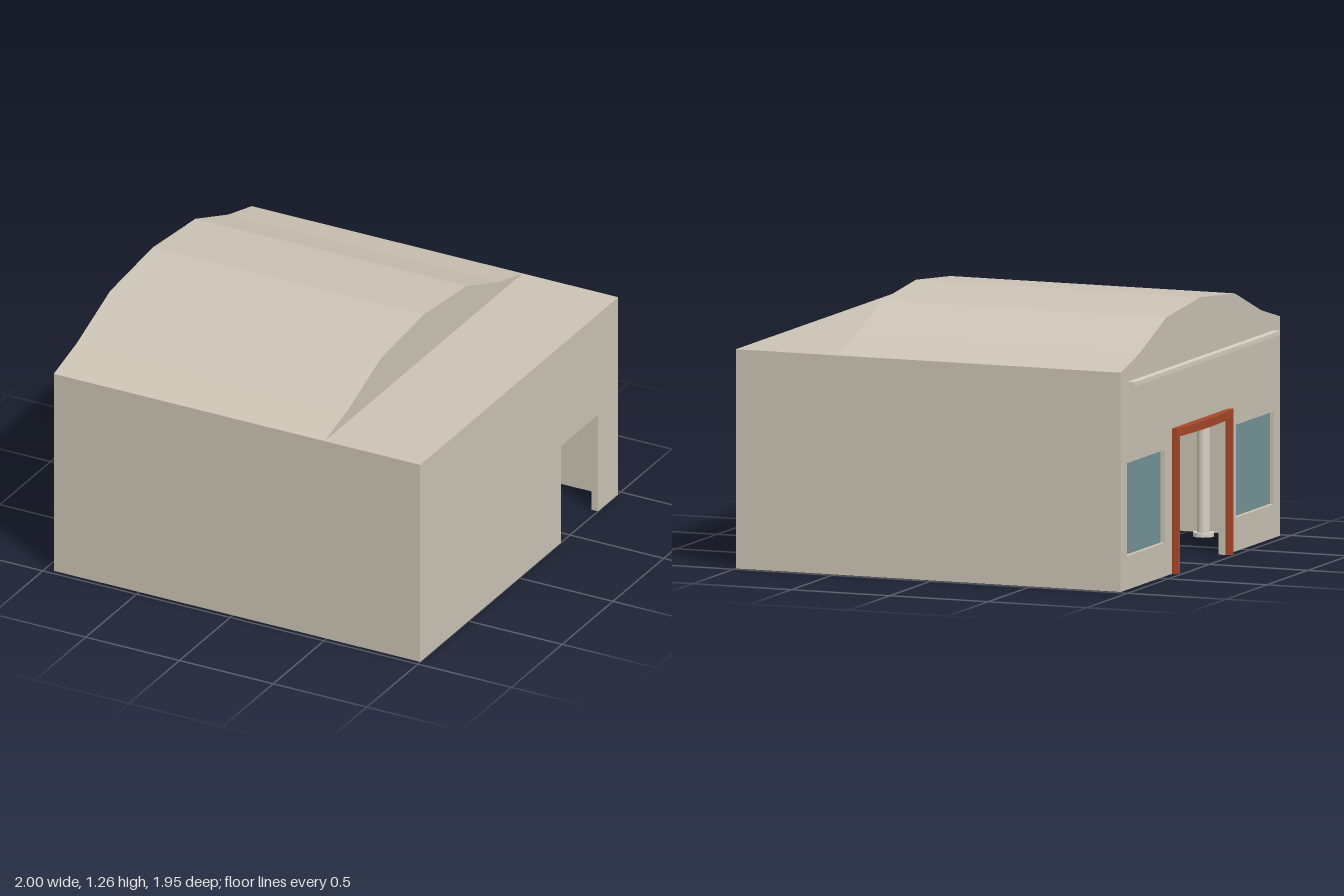
import * as THREE from 'three';

const T = 0.035;                       // wall thickness
const X0 = -0.955, X1 = 1, XM = 0.49;  // street face, rear face, partition
const Z = 0.975, H = 1.04;             // half width, eaves height

export function createModel() {
  const group = new THREE.Group();
  const mat = (name, color, side = THREE.FrontSide) => {
    const m = new THREE.MeshStandardMaterial({ color, side });
    m.name = name;
    return m;
  };
  const plaster = mat('plaster', 0xccc4b5);
  const stone = mat('pale stone', 0xd6d1c4);
  const glassMat = mat('blue glass', 0x74949a, THREE.DoubleSide);
  const rust = mat('rust trim', 0xa8482a);

  const add = (name, geometry, material) => {
    const mesh = new THREE.Mesh(geometry, material);
    mesh.name = name;
    group.add(mesh);
    return mesh;
  };
  // Box given by its two extreme corners
  const box = (name, material, x0, x1, y0, y1, z0, z1) =>
    add(name, new THREE.BoxGeometry(x1 - x0, y1 - y0, z1 - z0), material)
      .position.set((x0 + x1) / 2, (y0 + y1) / 2, (z0 + z1) / 2);
  const points = (list) => list.map(([a, b]) => new THREE.Vector2(a, b));
  // Outline in (z, y), extruded along x from x0 to x1
  const slab = (name, outline, x0, x1, holes = []) => {
    const shape = new THREE.Shape(points(outline));
    for (const [z0, z1, y0, y1] of holes) {
      shape.holes.push(new THREE.Path(points([[z0, y0], [z0, y1], [z1, y1], [z1, y0]])));
    }
    const g = new THREE.ExtrudeGeometry(shape, { depth: x1 - x0, bevelEnabled: false });
    g.rotateY(-Math.PI / 2).translate(x1, 0, 0);
    add(name, g, plaster);
  };

  // Faceted vault profile, from +z to -z
  const half = [[Z, H], [0.745, 1.1], [0.42, 1.225]];
  const mirror = half.map(([z, y]) => [-z, y]).reverse();
  const vault = [...half, [0, 1.265], ...mirror];

  // Street wall with gable, doorway and two window openings
  const D = 0.305, doorTop = 0.65;
  const windows = [[-0.9, -0.435, 0.16, 0.6], [0.435, 0.9, 0.16, 0.6]];
  slab('streetWall', [[-Z, 0], [-D, 0], [-D, doorTop], [D, doorTop], [D, 0], [Z, 0], ...vault],
    X0, X0 + T, windows);
  for (const [z0, z1, y0, y1] of windows) {
    box('windowGlass', glassMat, X0 + 0.021, X0 + 0.027, y0, y1, z0, z1);
  }

  // Rear wall and inner partition share the same side doorway
  const passage = [[-0.775, 0], [-0.775, 0.51], [-0.41, 0.51], [-0.41, 0]];
  slab('rearWall', [[-Z, 0], ...passage, [Z, 0], [Z, H], [-Z, H]], X1 - T, X1);
  const zi = Z - T;
  slab('partitionWall', [[-zi, 0], ...passage, [zi, 0], [zi, H], ...vault, [-zi, H]], XM - T, XM);

  // Long side walls
  for (const s of [-1, 1]) {
    const mid = s * (Z - T / 2);
    box('sideWall', plaster, X0 + T, X1 - T, 0, H, mid - T / 2, mid + T / 2);
  }

  // Vaulted roof shell and flat rear roof
  const under = vault.map(([z, y]) => [Math.max(-zi, Math.min(zi, z)), y - T]).reverse();
  slab('vaultRoof', [...vault, ...under], X0 + T, XM - T);
  box('flatRoof', plaster, XM, X1 - T, H - T, H, -zi, zi);

  // Bar across the street wall
  box('facadeBar', stone, -0.99, X0, 0.965, 0.985, -0.89, 0.89);

  // Door surround: stepped jambs and an outward-bowed lintel
  const W = D + 0.04;
  for (const s of [-1, 1]) {
    const c = s * (D + W) / 2;
    box('doorJamb', rust, -0.972, X0, 0, doorTop, c - 0.02, c + 0.02);
    box('doorJambRib', rust, -0.982, -0.972, 0, doorTop, c - 0.012, c + 0.012);
  }
  const plan = new THREE.Shape();
  plan.moveTo(X0, -W);
  plan.lineTo(X0, W);
  plan.lineTo(-0.98, W);
  plan.quadraticCurveTo(-1.02, 0, -0.98, -W);
  plan.closePath();
  const lintel = new THREE.ExtrudeGeometry(plan, { depth: 0.04, bevelEnabled: false, curveSegments: 10 });
  lintel.rotateX(-Math.PI / 2).translate(0, doorTop, 0);
  add('doorLintel', lintel, rust);

  // Interior columns on round bases
  for (const s of [-1, 1]) {
    add('column', new THREE.CylinderGeometry(0.03, 0.03, 1.03, 20), stone)
      .position.set(-0.63, 0.535, s * 0.82);
    add('columnBase', new THREE.CylinderGeometry(0.05, 0.05, 0.02, 20), stone)
      .position.set(-0.63, 0.01, s * 0.82);
  }
  return group;
}
